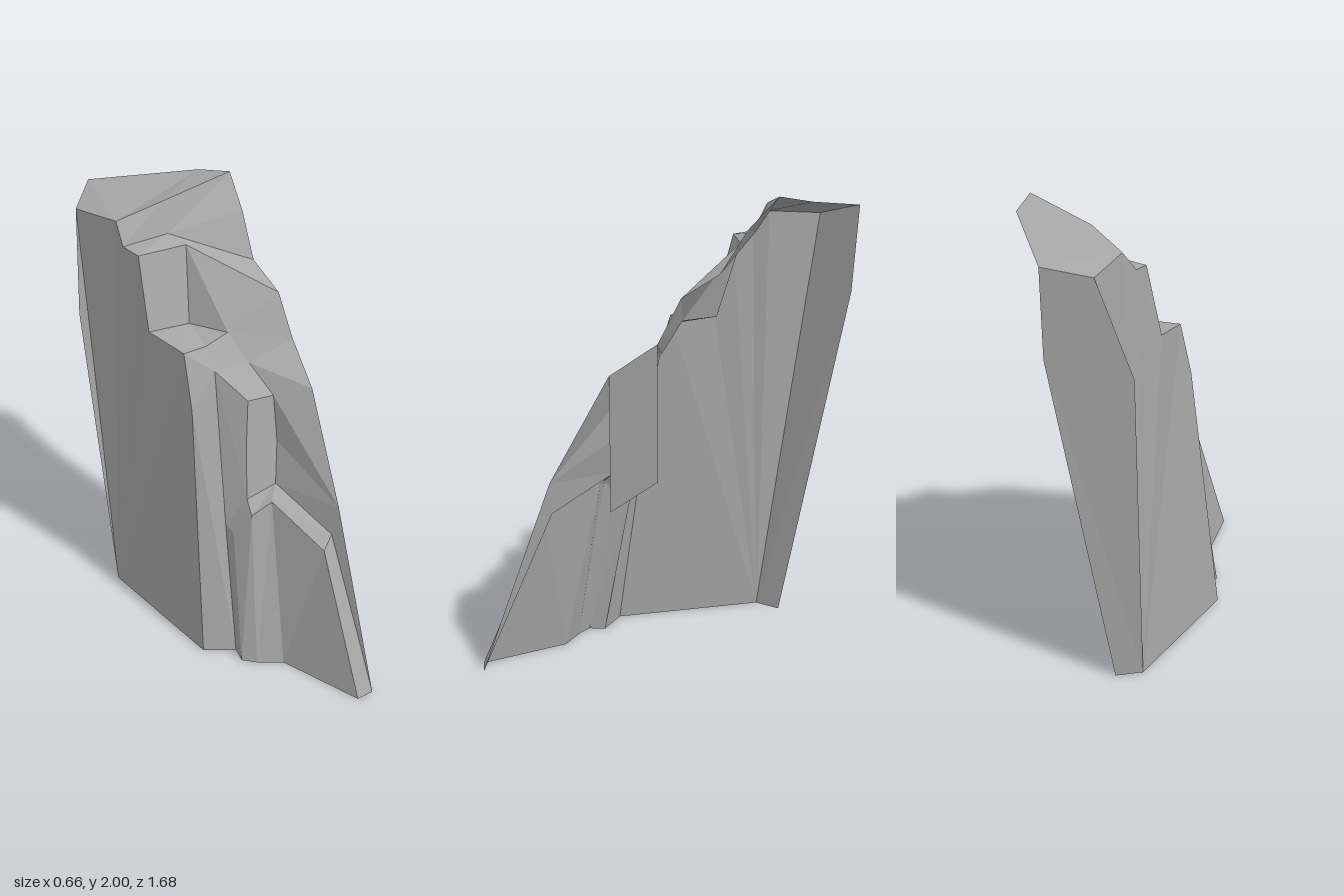
import * as THREE from 'three';

const P = (x, y, z) => new THREE.Vector3(x, y, z);

// Flat facets between two rows of points (upper row, lower row, both left to right)
function strip(a, b, out) {
  const tri = (p, q, r) => {
    if (p === q || q === r || p === r) return;
    for (const v of [p, q, r]) out.push(v.x, v.y, v.z);
  };
  for (let i = 0; i < a.length - 1; i++) {
    tri(a[i], b[i], a[i + 1]);
    tri(a[i + 1], b[i], b[i + 1]);
  }
}

export function createModel() {
  const group = new THREE.Group();
  const stone = new THREE.MeshStandardMaterial({ color: 0xa6a6a6, side: THREE.DoubleSide, flatShading: true });
  stone.name = 'grey stone';

  const part = (name, ...rows) => {
    const out = [];
    for (const [a, b] of rows) strip(a, b, out);
    const geo = new THREE.BufferGeometry();
    geo.setAttribute('position', new THREE.Float32BufferAttribute(out, 3));
    geo.computeVertexNormals();
    const mesh = new THREE.Mesh(geo, stone);
    mesh.name = name;
    group.add(mesh);
  };

  // Summit and back corner
  const apex = P(-0.11, 1.905, -0.84), summitBack = P(0.27, 1.97, -0.54), summit = P(0.33, 2, -0.39);
  const rimL = P(-0.19, 1.875, -0.46), rimM = P(0, 1.935, -0.41);
  const cornerTop = P(-0.25, 1.855, -0.7), cornerMid = P(-0.33, 1.43, -0.57), cornerFoot = P(-0.27, 0, -0.45);
  const backMid = P(-0.09, 1.53, -0.81), backFoot = P(-0.19, 0, -0.54);

  // Brow, notch and ledge
  const browL = P(-0.2, 1.79, -0.39), browM = P(0, 1.81, -0.36);
  const notchTL = P(-0.18, 1.78, -0.3), notchTR = P(0.045, 1.775, -0.29);
  const notchBL = P(-0.19, 1.465, -0.215), notchBR = P(0, 1.455, -0.2);
  const ledgeL = P(-0.14, 1.44, -0.02), ledgeM = P(-0.02, 1.43, -0.035), ledgeR = P(0.09, 1.46, -0.04);

  // Right-hand ridge, descending
  const ridge1 = P(0.315, 1.87, -0.27), ridge2 = P(0.3, 1.69, -0.16), ridge3 = P(0.32, 1.6, 0);
  const ridge4 = P(0.33, 1.42, 0.095), ridge5 = P(0.295, 1.285, 0.29), ridge6 = P(0.272, 0.83, 0.54);

  // Front column with its shelf
  const shelfBL = P(-0.02, 1.34, 0.03), shelfBR = P(0.14, 1.34, 0.05);
  const shelfFL = P(0.06, 1.235, 0.16), shelfFR = P(0.18, 1.23, 0.175);
  const colL = P(0.035, 1.02, 0.19), colR = P(0.18, 1.02, 0.21);
  const colFootL = P(0.015, 0.785, 0.23), colFootR = P(0.15, 0.83, 0.25);

  // Buttress and foot
  const stepBack = P(-0.055, 0.64, 0.17), stepFront = P(-0.05, 0.63, 0.225);
  const capL = P(0, 0.74, 0.29), capM = P(0.09, 0.79, 0.31), capR = P(0.19, 0.645, 0.56), heel = P(0.25, 0.69, 0.53);
  const edgeMid = P(-0.147, 1.2, 0.05);
  const base = [[-0.2, 0.21], [-0.075, 0.29], [-0.09, 0.36], [-0.04, 0.41], [0.06, 0.475], [0.2, 0.84], [0.28, 0.84]]
    .map(([x, z]) => P(x, 0, z));

  part('plateau', [[cornerTop, apex, summitBack, summit], [rimL, rimL, rimM, summit]]);
  part('brow',
    [[rimL, rimM, summit], [browL, browM, ridge1]],
    [[browL, browM], [notchTL, notchTR]]);
  part('notch',
    [[notchTL, notchTR], [notchBL, notchBR]],
    [[notchTR, notchTR], [notchBR, ledgeR]]);
  part('ledge', [[notchBL, notchBR, ledgeR], [ledgeL, ledgeM, ledgeR]]);
  part('rightShoulder', [[ridge1, ridge2, ridge3, ridge4], [browM, notchTR, ledgeR, ledgeR]]);
  part('rightFlank', [
    [ridge4, ridge4, ridge5, ridge6, ridge6, ridge6],
    [ledgeR, shelfBR, shelfFR, colR, colFootR, heel]]);
  part('ledgeUnderside', [[ledgeL, ledgeM, ledgeR], [shelfBL, shelfBL, shelfBR]]);
  part('frontRecess', [[shelfBL, shelfBL, stepBack, base[1]], [ledgeL, edgeMid, edgeMid, base[0]]]);
  part('frontColumn',
    [[shelfBL, shelfBR], [shelfFL, shelfFR]],
    [[shelfFL, shelfFR], [colL, colR]],
    [[colL, colR], [colFootL, colFootR]],
    [[shelfFL, colL, colFootL, capL], [shelfBL, shelfBL, stepBack, stepFront]]);
  part('buttress',
    [[stepFront, base[2]], [stepBack, base[1]]],
    [[stepFront, capL, capM, capR, heel], base.slice(2)]);
  part('buttressCap', [[colFootL, colFootR, heel], [capL, capM, capR]]);
  part('footSide', [[ridge6, ridge6], [heel, base[6]]]);

  // Loose slab hanging from the ridge
  part('hangingSlab', [[ridge5, ridge4], [P(0.295, 0.7, 0.29), P(0.33, 0.835, 0.095)]]);

  // Large plain walls
  const leftEdge = [cornerMid, cornerTop, rimL, browL, notchTL, notchBL, ledgeL, edgeMid, base[0]];
  part('leftWall', [leftEdge, leftEdge.map(() => cornerFoot)]);
  part('backWall', [[cornerTop, cornerMid, cornerFoot], [apex, backMid, backFoot]]);

  return group;
}
